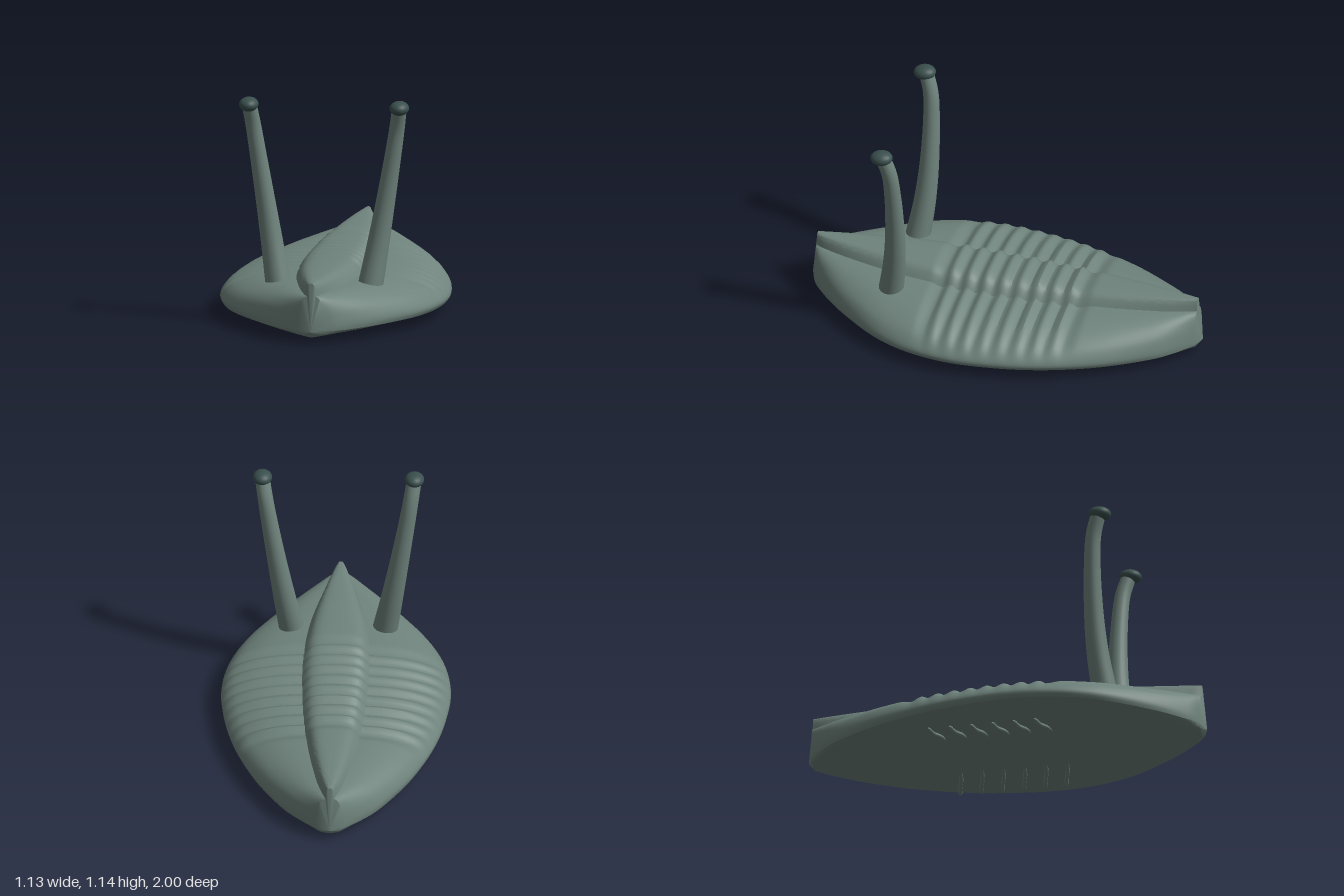
import * as THREE from 'three';
import { toCreasedNormals } from 'three/addons/utils/BufferGeometryUtils.js';

const V2 = (p) => new THREE.Vector2(p[0], p[1]);
const spline = (pts, n) => new THREE.SplineCurve(pts.map(V2)).getPoints(n);

// Half section at full width: underside, side lobe, raised middle lobe
const HALF = [
  ...spline([[0, 0.03], [0.25, 0.035], [0.45, 0.045], [0.55, 0.06]], 6),
  ...spline([[0.55, 0.06], [0.565, 0.085], [0.55, 0.12], [0.5, 0.165], [0.4, 0.205], [0.28, 0.228], [0.165, 0.236]], 18).slice(1),
  ...spline([[0.165, 0.236], [0.135, 0.275], [0.1, 0.293], [0.05, 0.299], [0, 0.3]], 10).slice(1),
];
// Outline seen from above: z, half width
const OUTLINE = spline([[-0.975, 0.07], [-0.9, 0.16], [-0.8, 0.25], [-0.6, 0.375], [-0.4, 0.463], [-0.2, 0.523],
  [0, 0.556], [0.15, 0.565], [0.3, 0.55], [0.45, 0.508], [0.6, 0.43], [0.8, 0.275], [0.93, 0.14], [0.975, 0.07]], 200);

// Eight cross ribs over the middle of the back
function ribs(z) {
  const t = ((z + 0.4) / 0.69) * 8;
  if (t >= 0 && t <= 8) return -0.017 + 0.022 * (0.5 - 0.5 * Math.cos(2 * Math.PI * t));
  const away = t < 0 ? -t : t - 8;
  return -0.017 * (1 - THREE.MathUtils.smoothstep(away, 0, 0.8));
}

function bodyGeometry() {
  const mirrored = HALF.slice(1, -1).reverse().map((p) => new THREE.Vector2(-p.x, p.y));
  const section = [...HALF, ...mirrored];
  const n = section.length, pos = [], idx = [];
  for (const { x: z, y: width } of OUTLINE) {
    for (const p of section) {
      const fade = THREE.MathUtils.smoothstep(p.y, 0.08, 0.23);
      pos.push((p.x * width) / 0.565, p.y + ribs(z) * fade, z);
    }
  }
  const rings = OUTLINE.length;
  for (let i = 0; i < rings - 1; i++) {
    for (let j = 0; j < n; j++) {
      const k = (j + 1) % n, a = i * n;
      idx.push(a + j, a + k, a + n + j, a + k, a + n + k, a + n + j);
    }
  }
  // Pointed end caps
  const back = rings * n, front = back + 1, last = (rings - 1) * n;
  pos.push(0, 0.06, -1, 0, 0.06, 1);
  for (let j = 0; j < n; j++) {
    const k = (j + 1) % n;
    idx.push(back, k, j, front, last + j, last + k);
  }
  const g = new THREE.BufferGeometry();
  g.setAttribute('position', new THREE.Float32BufferAttribute(pos, 3));
  g.setIndex(idx);
  return toCreasedNormals(g, 0.6);
}

// Tube whose radius follows a rule along its path
function taperedTube(points, segments, sides, radius) {
  const curve = new THREE.CatmullRomCurve3(points.map((p) => new THREE.Vector3(...p)));
  const g = new THREE.TubeGeometry(curve, segments, 1, sides);
  const p = g.attributes.position, v = new THREE.Vector3();
  for (let i = 0; i < p.count; i++) {
    const t = Math.floor(i / (sides + 1)) / segments;
    const c = curve.getPointAt(t);
    v.fromBufferAttribute(p, i).sub(c).multiplyScalar(radius(t)).add(c);
    p.setXYZ(i, v.x, v.y, v.z);
  }
  return g;
}

export function createModel() {
  const group = new THREE.Group();
  const skin = new THREE.MeshStandardMaterial({ color: 0x6f837c });
  const dark = new THREE.MeshStandardMaterial({ color: 0x3a504e });
  const add = (name, geometry, material) => {
    const mesh = new THREE.Mesh(geometry, material);
    mesh.name = name;
    group.add(mesh);
    return mesh;
  };

  add('body', bodyGeometry(), skin);

  for (const s of [1, -1]) {
    const side = s > 0 ? 'left' : 'right';

    // Eye stalk with its eye
    const path = [[0.228 * s, 0.2, 0.532], [0.262 * s, 0.4, 0.505], [0.295 * s, 0.6, 0.492],
      [0.335 * s, 0.85, 0.492], [0.358 * s, 1.0, 0.503], [0.373 * s, 1.1, 0.53]];
    add(side + 'EyeStalk', taperedTube(path, 32, 24, (t) => 0.037 + 0.026 * (1 - t) ** 1.4), skin);
    const eye = add(side + 'Eye', new THREE.SphereGeometry(1, 28, 18), dark);
    eye.scale.set(0.048, 0.035, 0.056);
    eye.position.set(0.374 * s, 1.103, 0.538);
    eye.rotation.x = 0.1;

    // Row of small legs under the body
    for (let i = 0; i < 6; i++) {
      const z = 0.232 - i * 0.107;
      const leg = [[0.19 * s, 0.04, z + 0.025], [0.26 * s, 0.026, z + 0.015],
        [0.33 * s, 0.012, z - 0.005], [0.4 * s, 0.01, z - 0.018]];
      add(side + 'Leg' + (i + 1), taperedTube(leg, 20, 10, (t) => 0.01 * Math.min(1, Math.sqrt((1 - t) * 12))), skin);
    }
  }
  return group;
}
